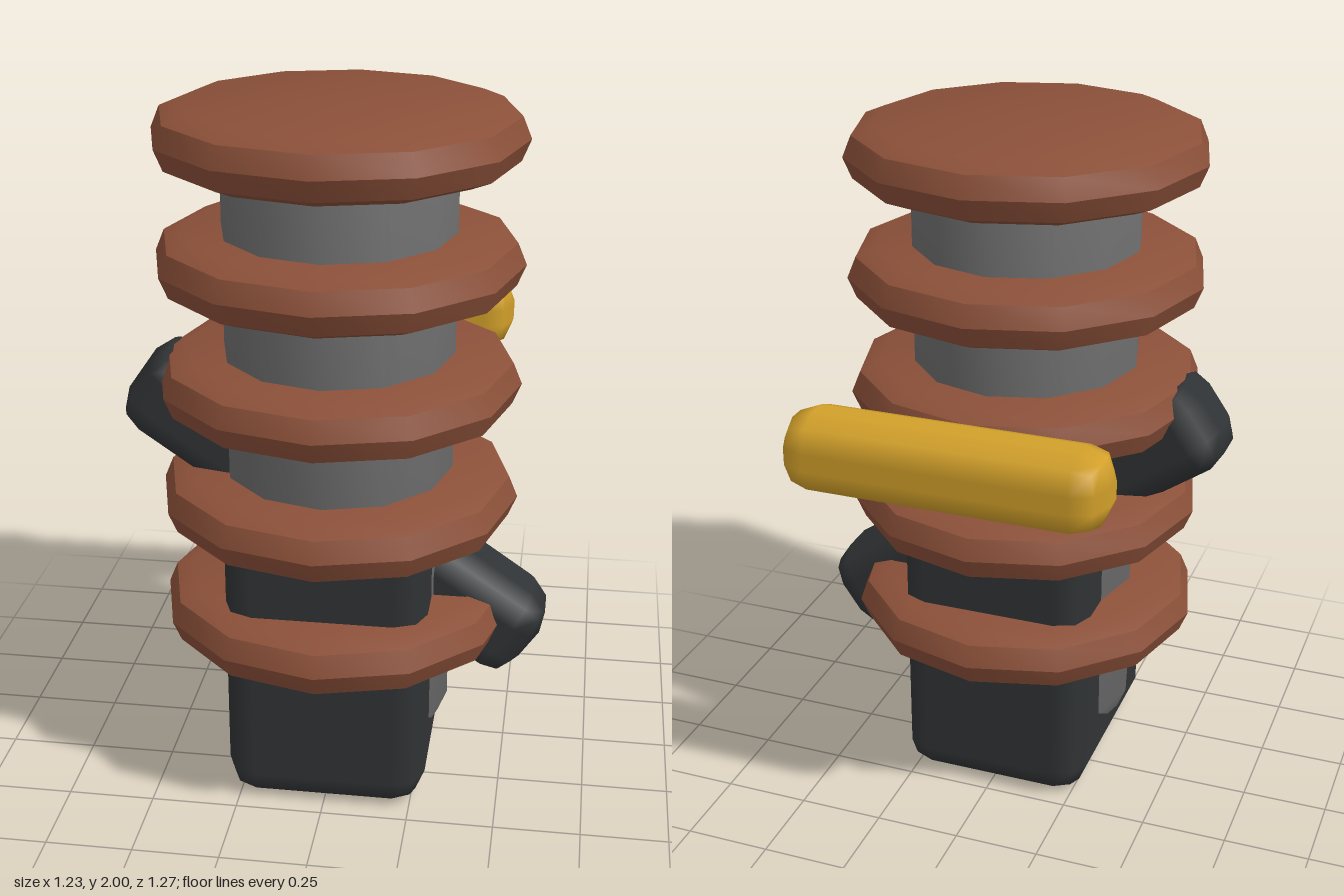
import * as THREE from 'three';
import { toCreasedNormals } from 'three/addons/utils/BufferGeometryUtils.js';
import { RoundedBoxGeometry } from 'three/addons/geometries/RoundedBoxGeometry.js';

const BEVEL = 0.09;
const AXIS_Z = 0.117; // the body sits forward of the rear handle

const paint = (color) => new THREE.MeshStandardMaterial({ color });

// Twelve-sided drum with a two-step bevel on both rims
function drum(radius, y0, y1, bevel) {
  const half = bevel * Math.SQRT1_2;
  const r = radius - bevel;
  const profile = [
    [0, y0], [r, y0], [r + half, y0 + bevel - half], [radius, y0 + bevel],
  ];
  if (y1 - y0 > 2 * bevel + 0.001) profile.push([radius, y1 - bevel]);
  profile.push([r + half, y1 - bevel + half], [r, y1], [0, y1]);
  const points = profile.map(([x, y]) => new THREE.Vector2(x, y));
  return toCreasedNormals(new THREE.LatheGeometry(points, 12), 0.75);
}

export function createModel() {
  const model = new THREE.Group();
  const brown = paint(0x8b5039);
  const grey = paint(0x6c6c6c);
  const dark = paint(0x303335);
  const yellow = paint(0xd2a02a);

  function add(name, geometry, material, x, y, z) {
    const mesh = new THREE.Mesh(geometry, material);
    mesh.name = name;
    mesh.position.set(x, y, z);
    model.add(mesh);
    return mesh;
  }
  const block = (w, h, d) => new RoundedBoxGeometry(w, h, d, 1, BEVEL);

  // Central column, slightly deeper than wide
  const column = drum(0.33, 0.117, 1.95, BEVEL);
  column.scale(1, 1, 1.05);
  add('column', column, grey, 0, 0, AXIS_Z);

  // Stacked discs
  for (let i = 0; i < 5; i++) {
    add(`disc${i + 1}`, drum(0.518, -0.085, 0.085, 0.085), brown,
      0, 0.525 + i * 0.3475, AXIS_Z - 0.002);
  }

  // Foot block
  add('base', block(0.58, 0.9, 0.696), dark, 0, 0.45, AXIS_Z);

  // Slanted bar running through the body, showing at both sides
  const bar = add('crossBar', block(1.39, 0.28, 0.285), dark, 0, 0.815, AXIS_Z - 0.003);
  bar.rotation.z = -0.605;

  // Handle behind the body
  add('rearHandle', block(0.924, 0.23, 0.23), yellow, 0, 1.22, -0.521);

  return model;
}
